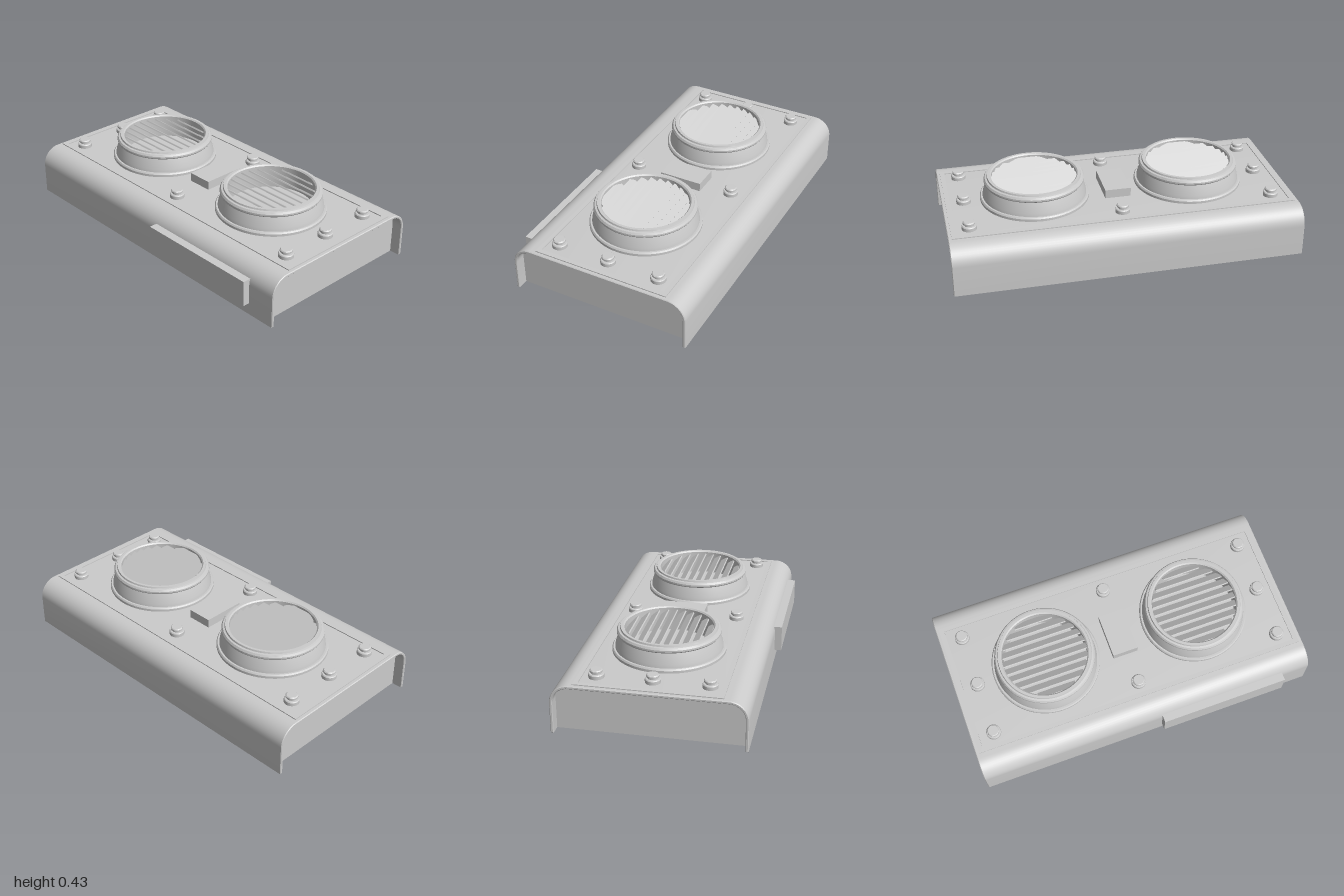
import * as THREE from 'three';
import { toCreasedNormals } from 'three/addons/utils/BufferGeometryUtils.js';

const material = new THREE.MeshStandardMaterial({ color: 0xcccccc });
const MID_Z = -0.02; // centre line of the vents and bolts
const TOP = 0.284;   // height of the casing top

function add(parent, name, geometry, x = 0, y = 0, z = 0) {
  const mesh = new THREE.Mesh(geometry, material);
  mesh.name = name;
  mesh.position.set(x, y, z);
  parent.add(mesh);
  return mesh;
}

const box = (w, h, d) => new THREE.BoxGeometry(w, h, d);

function lathe(points, segments) {
  const profile = points.map(([r, y]) => new THREE.Vector2(r, y));
  return toCreasedNormals(new THREE.LatheGeometry(profile, segments), 0.4);
}

// Arch outline: straight sides, rounded upper corners, inset by t
function archPoints(t) {
  const front = -0.505 + t, back = 0.545 - t, top = TOP - t, r = 0.105 - t;
  const points = [[front, 0]];
  for (const [cx, start] of [[front + r, Math.PI], [back - r, Math.PI / 2]]) {
    for (let i = 0; i <= 12; i++) {
      const a = start - (i / 12) * Math.PI / 2;
      points.push([cx + r * Math.cos(a), top - r + r * Math.sin(a)]);
    }
  }
  points.push([back, 0]);
  return points.map(([x, y]) => new THREE.Vector2(x, y));
}

// Extrudes an arch section along x, centred on x = 0
function extrudeX(points, length, bevel = 0) {
  const geometry = new THREE.ExtrudeGeometry(new THREE.Shape(points), {
    depth: length - 2 * bevel, bevelEnabled: bevel > 0, bevelSize: bevel,
    bevelOffset: -bevel, bevelThickness: bevel, bevelSegments: 1,
  });
  geometry.translate(0, 0, -length / 2 + bevel).rotateY(Math.PI / 2);
  return toCreasedNormals(geometry, 0.4);
}

function rectangle(path, w, h) {
  path.moveTo(-w / 2, -h / 2);
  path.lineTo(w / 2, -h / 2);
  path.lineTo(w / 2, h / 2);
  path.lineTo(-w / 2, h / 2);
  path.closePath();
  return path;
}

function createVent(x) {
  const vent = new THREE.Group();
  vent.name = 'vent';
  vent.position.set(x, 0, MID_Z);
  // Flange, tapered wall, rolled lip and inner wall
  add(vent, 'ventHousing', lathe([
    [0.315, 0.27], [0.315, 0.298], [0.309, 0.306], [0.299, 0.306], [0.296, 0.325],
    [0.276, 0.384], [0.284, 0.387], [0.288, 0.393], [0.288, 0.403], [0.281, 0.414],
    [0.27, 0.416], [0.267, 0.425], [0.252, 0.425], [0.245, 0.418], [0.245, 0.275],
  ], 64));
  // Louvre slats, rising towards the front and cut to the round opening
  const count = 10, spacing = 0.049;
  for (let i = 0; i < count; i++) {
    const z = (i - (count - 1) / 2) * spacing;
    const half = Math.sqrt(0.247 ** 2 - z * z);
    const slat = add(vent, 'slat', box(2 * half, 0.008, 0.05), 0, 0.392, z);
    slat.rotation.x = -0.6;
  }
  return vent;
}

export function createModel() {
  const model = new THREE.Group();
  model.name = 'ventUnit';

  // Bent sheet casing, open underneath
  const section = [...archPoints(0), ...archPoints(0.017).reverse()];
  add(model, 'casing', extrudeX(section, 2, 0.004));

  // Recessed end panels
  for (const side of [-1, 1]) {
    add(model, 'endPanel', extrudeX(archPoints(0.015), 0.015), side * 0.93);
  }

  // Raised border on the top
  const border = rectangle(new THREE.Shape(), 1.96, 0.795);
  border.holes.push(rectangle(new THREE.Path(), 1.905, 0.745));
  const borderGeometry = new THREE.ExtrudeGeometry(border, { depth: 0.01, bevelEnabled: false });
  borderGeometry.rotateX(-Math.PI / 2);
  add(model, 'topBorder', borderGeometry, 0, TOP - 0.005, -0.025);

  // Vents
  for (const x of [-0.45, 0.465]) model.add(createVent(x));

  // Bolts with a washer, neck and cap
  const boltGeometry = lathe([
    [0.042, 0.27], [0.042, 0.303], [0.038, 0.308], [0.027, 0.308], [0.027, 0.315],
    [0.034, 0.317], [0.034, 0.326], [0.029, 0.331], [0, 0.331],
  ], 24);
  for (const x of [-0.865, 0.012, 0.875]) {
    for (const dz of [-0.303, 0, 0.303]) {
      if (dz === 0 && Math.abs(x) < 0.1) continue;
      add(model, 'bolt', boltGeometry, x, 0, MID_Z + dz);
    }
  }

  // Block between the vents and plate on the front
  add(model, 'centreBlock', box(0.15, 0.066, 0.255), 0, 0.302, -0.028);
  add(model, 'frontPlate', box(0.75, 0.15, 0.052), 0.455, 0.143, 0.519);

  return model;
}
